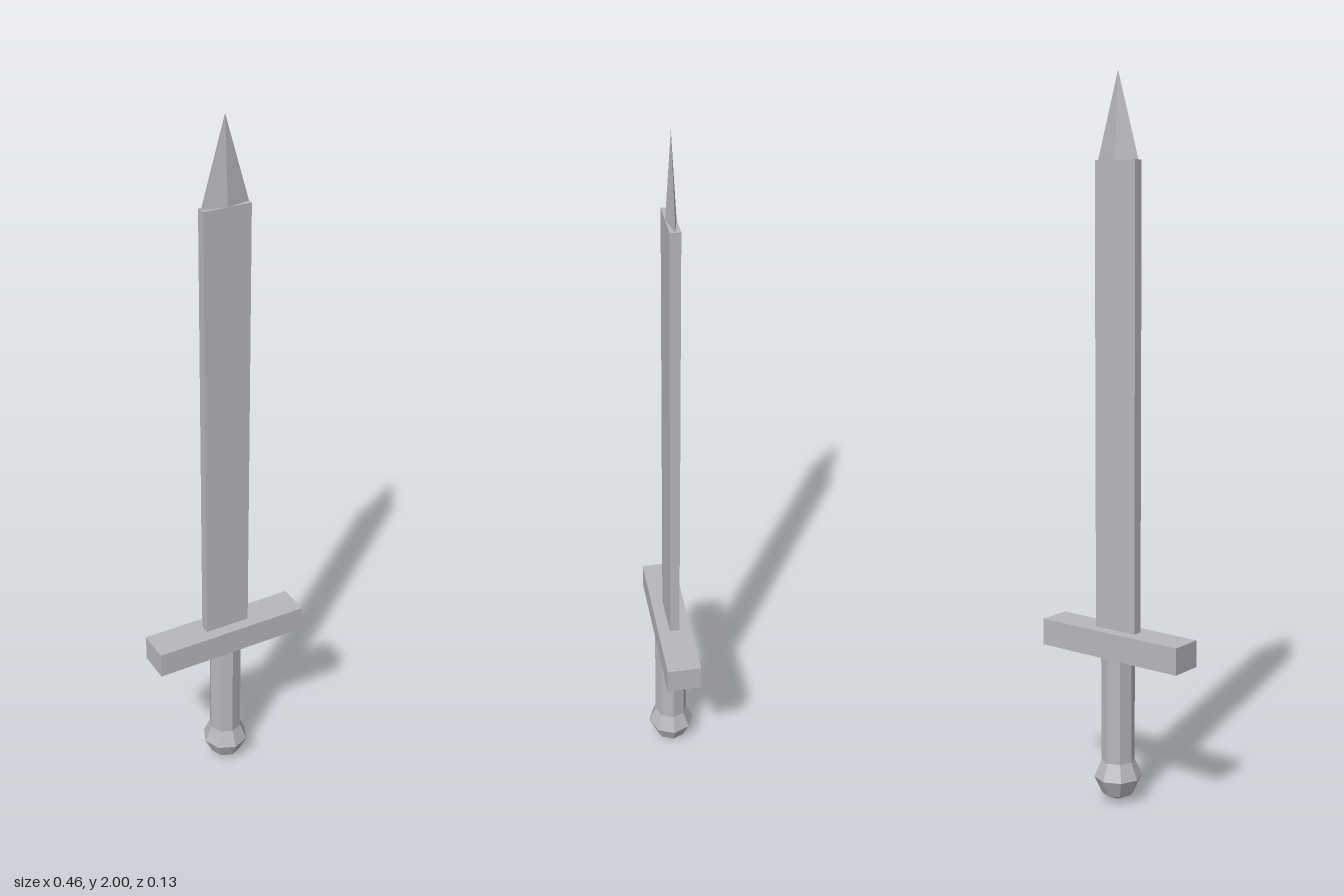
import * as THREE from 'three';

export function createModel() {
  const steel = new THREE.MeshStandardMaterial({ color: 0xb6b6bc });
  steel.name = 'steel';
  steel.flatShading = true;

  const sword = new THREE.Group();
  sword.name = 'sword';

  const add = (name, geometry, y = 0) => {
    const mesh = new THREE.Mesh(geometry, steel);
    mesh.name = name;
    mesh.position.y = y;
    sword.add(mesh);
    return mesh;
  };

  // Eight-sided turned parts, given as [radius, height] pairs from the bottom up
  const turned = (profile) =>
    new THREE.LatheGeometry(profile.map(([r, y]) => new THREE.Vector2(r, y)), 8);

  // Handle
  add('pommel', turned([[0, 0], [0.045, 0.022], [0.067, 0.07], [0.047, 0.118]]));
  add('grip', turned([[0.047, 0.118], [0.047, 0.42]]));

  // Crossguard
  add('crossguard', new THREE.BoxGeometry(0.462, 0.075, 0.095), 0.4575);

  // Blade: flat bar with a diamond-section point
  const bladeTop = 1.77;
  const bladeBase = 0.495;
  add('blade', new THREE.BoxGeometry(0.134, bladeTop - bladeBase, 0.028), (bladeTop + bladeBase) / 2);

  const point = new THREE.ConeGeometry(1, 2 - bladeTop, 4);
  point.scale(0.067, 1, 0.014);
  add('bladePoint', point, (2 + bladeTop) / 2);

  return sword;
}
